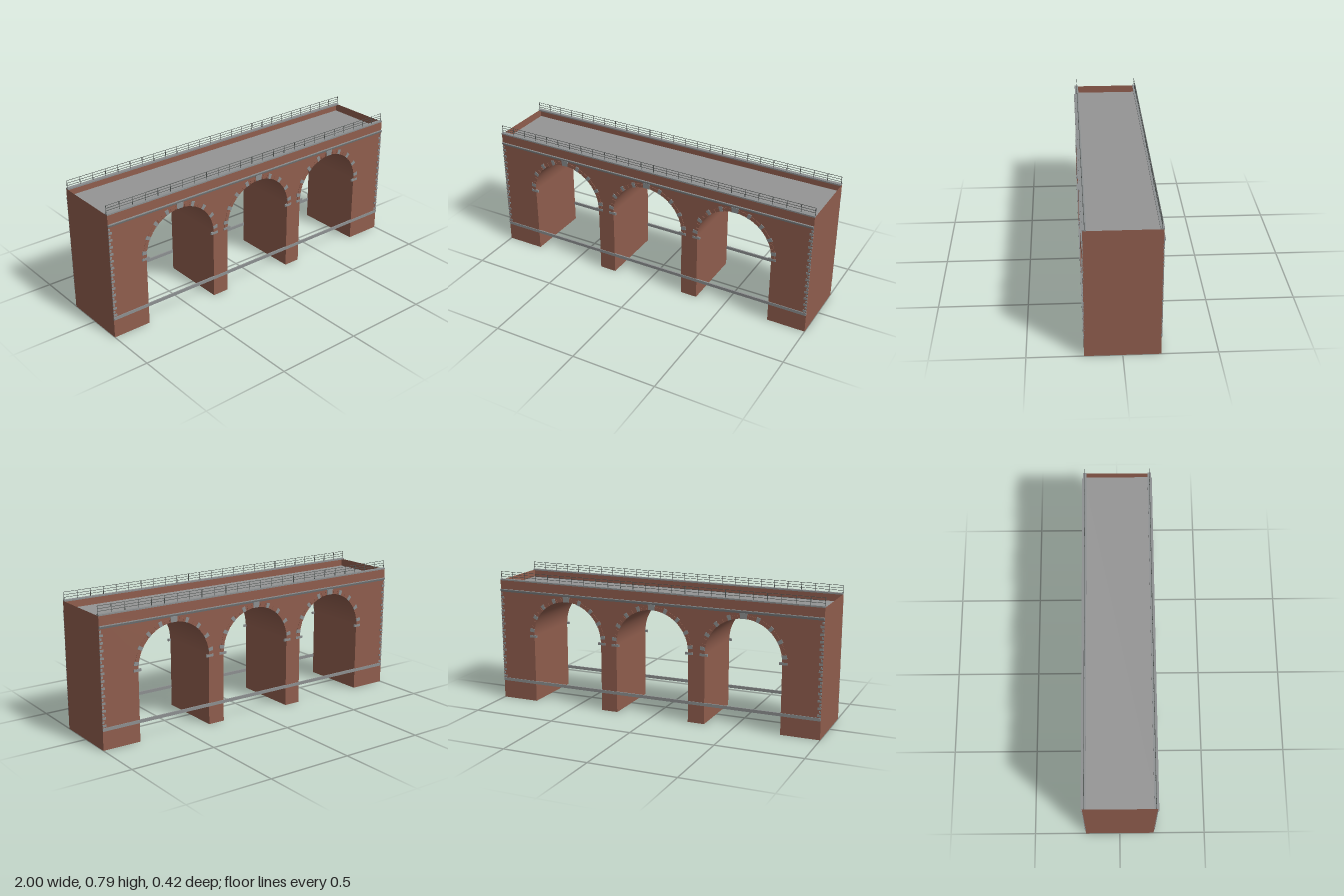
import * as THREE from 'three';

const brick = new THREE.MeshStandardMaterial({ name: 'red brick', color: 0x8f5d4d, side: THREE.DoubleSide });
const stone = new THREE.MeshStandardMaterial({ name: 'grey stone', color: 0x8c8f90 });
const paving = new THREE.MeshStandardMaterial({ name: 'deck paving', color: 0x959595, side: THREE.DoubleSide });
const iron = new THREE.MeshStandardMaterial({ name: 'dark iron', color: 0x505553 });

const HALF = 0.2;          // half the bridge width
const TOP = 0.735;         // top of the parapet
const SPRING = 0.41;       // height where the arches start
const R = 0.225;           // arch radius
const CENTRES = [-0.55, 0, 0.55];

function add(parent, name, geometry, material, x = 0, y = 0, z = 0) {
  const mesh = new THREE.Mesh(geometry, material);
  mesh.name = name;
  mesh.position.set(x, y, z);
  parent.add(mesh);
  return mesh;
}

const box = (parent, name, material, w, h, d, x, y, z) =>
  add(parent, name, new THREE.BoxGeometry(w, h, d), material, x, y, z);

// Wedge-shaped arch stone between two angles
function voussoir(inner, outer, angle, spread, depth) {
  const s = new THREE.Shape();
  s.absarc(0, 0, outer, angle - spread / 2, angle + spread / 2, false);
  s.absarc(0, 0, inner, angle + spread / 2, angle - spread / 2, true);
  const g = new THREE.ExtrudeGeometry(s, { depth, bevelEnabled: false, curveSegments: 2 });
  return g.translate(0, 0, -depth / 2);
}

// Face wall with three arched openings down to the ground
function wallShape() {
  const s = new THREE.Shape();
  s.moveTo(-1, TOP);
  s.lineTo(-1, 0);
  for (const c of CENTRES) {
    s.lineTo(c - R, 0);
    s.lineTo(c - R, SPRING);
    s.absarc(c, SPRING, R, Math.PI, 0, true);
    s.lineTo(c + R, 0);
  }
  s.lineTo(1, 0);
  s.lineTo(1, TOP);
  s.closePath();
  return s;
}

// One long face with all its stonework; the other is the same turned round
function buildFace() {
  const face = new THREE.Group();
  add(face, 'faceWall', new THREE.ShapeGeometry(wallShape(), 20), brick, 0, 0, HALF);
  box(face, 'beltCourse', stone, 2, 0.018, 0.008, 0, 0.117, HALF);

  // Cornice flaring outwards at its top
  const profile = new THREE.Shape();
  profile.moveTo(-0.002, 0);
  profile.lineTo(0.002, 0);
  profile.lineTo(0.008, 0.012);
  profile.lineTo(0.008, 0.016);
  profile.lineTo(-0.002, 0.016);
  const cornice = new THREE.ExtrudeGeometry(profile, { depth: 2, bevelEnabled: false });
  cornice.rotateY(-Math.PI / 2).scale(1, 1, 1).translate(1, 0, 0);
  add(face, 'cornice', cornice, stone, 0, 0.665, HALF);

  // Coping on the parapet
  box(face, 'coping', stone, 2, 0.008, 0.022, 0, 0.738, HALF - 0.009);

  // Arch rings, keystones and imposts
  const steps = 24;
  for (const c of CENTRES) {
    for (let i = 0; i < steps; i++) {
      const angle = (i + 0.5) * Math.PI / steps;
      add(face, 'archBrick', voussoir(R, R + 0.021, angle, Math.PI / steps * 0.86, 0.005), brick, c, SPRING, HALF);
    }
    for (let i = 0; i <= 8; i++) {
      if (i === 4) continue;
      const angle = THREE.MathUtils.degToRad(8 + i * 20.5);
      add(face, 'archStone', voussoir(R, R + 0.029, angle, 0.085, 0.008), stone, c, SPRING, HALF);
    }
    add(face, 'keystone', voussoir(R, R + 0.032, Math.PI / 2, 0.17, 0.01), stone, c, SPRING, HALF);
    for (const s of [-1, 1]) {
      box(face, 'impost', stone, 0.046, 0.014, 0.009, c + s * (R + 0.006), 0.406, HALF);
    }
  }

  // Alternating corner quoins
  const count = 26;
  for (let i = 0; i < count; i++) {
    const w = i % 2 ? 0.011 : 0.021;
    for (const s of [-1, 1]) {
      box(face, 'quoin', stone, w, 0.013, 0.006, s * (1 - w / 2), 0.138 + i * 0.0205, HALF);
    }
  }

  // Railing
  const z = HALF - 0.01;
  for (const y of [0.757, 0.771, 0.786]) box(face, 'handrail', iron, 2, 0.002, 0.002, 0, y, z);
  for (let i = 0; i <= 25; i++) {
    box(face, 'railPost', iron, 0.003, 0.045, 0.002, -0.9985 + i * 1.997 / 25, 0.7645, z);
  }
  return face;
}

export function createModel() {
  const bridge = new THREE.Group();
  bridge.name = 'archBridge';

  const front = buildFace();
  front.name = 'frontFace';
  const back = buildFace();
  back.name = 'backFace';
  back.rotation.y = Math.PI;
  bridge.add(front, back);

  // End walls
  for (const s of [-1, 1]) {
    const end = add(bridge, 'endWall', new THREE.PlaneGeometry(HALF * 2, TOP), brick, s, TOP / 2, 0);
    end.rotation.y = s * Math.PI / 2;
  }

  // Arch undersides and pier sides
  for (const c of CENTRES) {
    const vault = new THREE.CylinderGeometry(R, R, HALF * 2, 40, 1, true, Math.PI / 2, Math.PI);
    add(bridge, 'vault', vault.rotateX(Math.PI / 2), brick, c, SPRING, 0);
    for (const s of [-1, 1]) {
      const side = add(bridge, 'pierSide', new THREE.PlaneGeometry(HALF * 2, SPRING), brick, c + s * R, SPRING / 2, 0);
      side.rotation.y = -s * Math.PI / 2;
    }
  }

  // Sunken deck between the parapets
  const deck = new THREE.PlaneGeometry(2, HALF * 2).rotateX(-Math.PI / 2);
  add(bridge, 'deck', deck, paving, 0, 0.69, 0);

  return bridge;
}
